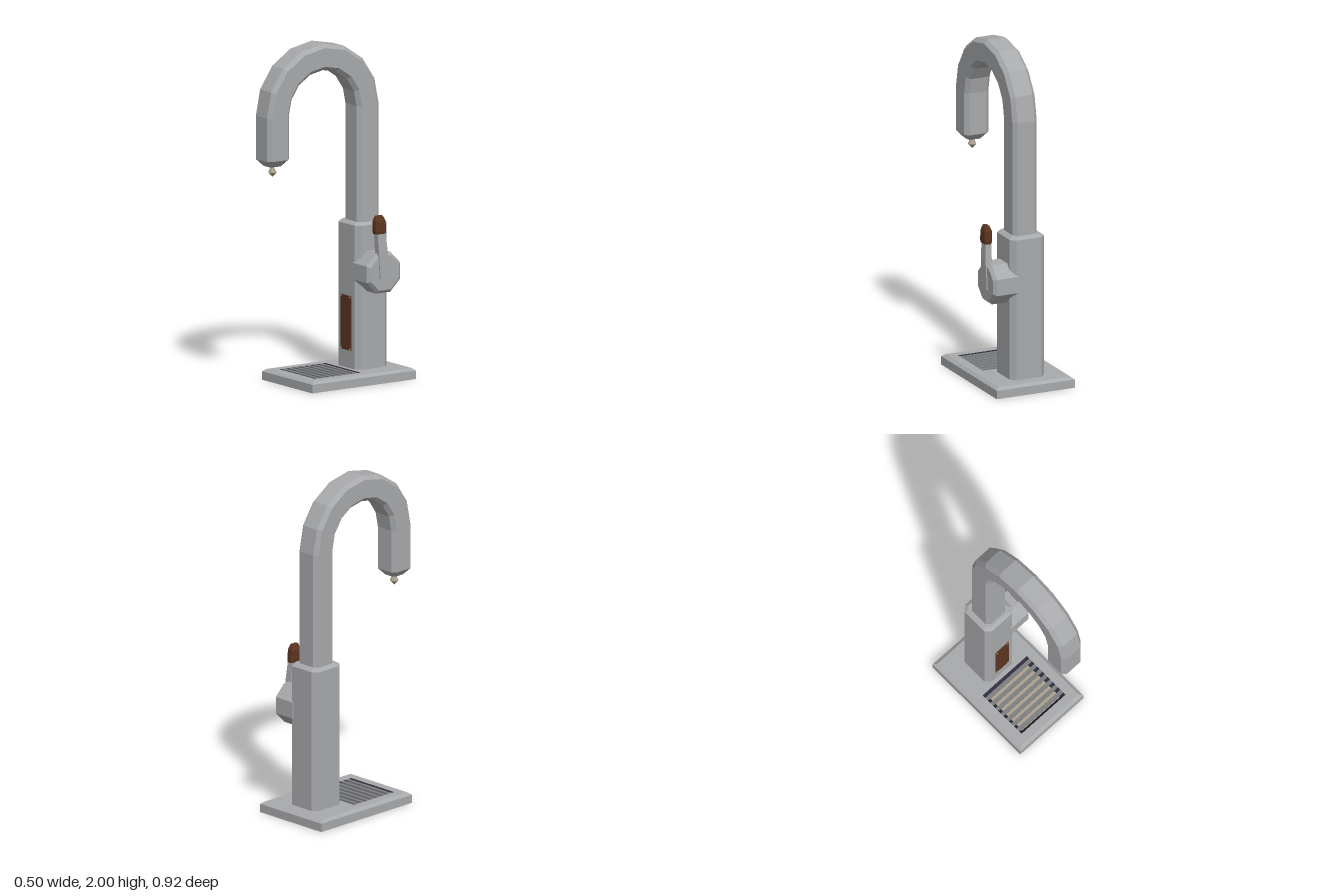
import * as THREE from 'three';

// Chamfered rectangle in the xz plane, listed counter-clockwise from above
function ring(hw, hd, c, y, x = 0, z = 0) {
  const pts = c > 0
    ? [[hw, hd - c], [hw, -hd + c], [hw - c, -hd], [-hw + c, -hd],
       [-hw, -hd + c], [-hw, hd - c], [-hw + c, hd], [hw - c, hd]]
    : [[hw, hd], [hw, -hd], [-hw, -hd], [-hw, hd]];
  return pts.map(([px, pz]) => new THREE.Vector3(px + x, y, pz + z));
}

// Faceted skin through a list of rings, with optional flat end caps
function loft(rings, capStart = true, capEnd = true) {
  const pos = [];
  const tri = (a, b, c) => [a, b, c].forEach((p) => pos.push(p.x, p.y, p.z));
  const n = rings[0].length;
  for (let r = 0; r < rings.length - 1; r++) {
    for (let i = 0; i < n; i++) {
      const j = (i + 1) % n, a = rings[r], b = rings[r + 1];
      tri(a[i], a[j], b[j]);
      tri(a[i], b[j], b[i]);
    }
  }
  const first = rings[0], last = rings[rings.length - 1];
  for (let i = 1; i < n - 1; i++) {
    if (capStart) tri(first[0], first[i + 1], first[i]);
    if (capEnd) tri(last[0], last[i], last[i + 1]);
  }
  const g = new THREE.BufferGeometry();
  g.setAttribute('position', new THREE.Float32BufferAttribute(pos, 3));
  g.computeVertexNormals();
  return g;
}

export function createModel() {
  const model = new THREE.Group();
  model.name = 'beverageTap';

  const material = (name, color) => {
    const m = new THREE.MeshStandardMaterial({ color });
    m.name = name;
    m.flatShading = true;
    return m;
  };
  const steel = material('steel', 0xa8a9ab);
  const grate = material('grateGrey', 0x7d7e80);
  const dark = material('darkRecess', 0x2f2d40);
  const tan = material('tan', 0xaca18d);
  const wood = material('brownWood', 0x5c3521);

  const add = (name, geometry, mat, x = 0, y = 0, z = 0, parent = model) => {
    const mesh = new THREE.Mesh(geometry, mat);
    mesh.name = name;
    mesh.position.set(x, y, z);
    parent.add(mesh);
    return mesh;
  };

  // Base slab with a bevelled rim and an opening for the drip tray
  const baseZ = -0.0925, trayZ = 0.0425;
  add('base', loft([
    ring(0.25, 0.3675, 0, 0, 0, baseZ),
    ring(0.25, 0.3675, 0, 0.05, 0, baseZ),
    ring(0.23, 0.3475, 0, 0.065, 0, baseZ),
    ring(0.175, 0.1625, 0, 0.065, 0, trayZ),
  ], true, false), steel);

  // Drip tray: sloping walls, floor and slats
  const tray = new THREE.Group();
  tray.name = 'dripTray';
  model.add(tray);
  add('trayWalls', loft([
    ring(0.175, 0.1625, 0, 0.065, 0, trayZ),
    ring(0.15, 0.1425, 0, 0.035, 0, trayZ),
  ], false, false), dark, 0, 0, 0, tray);
  const floor = add('trayFloor', new THREE.PlaneGeometry(0.3, 0.285), tan, 0, 0.035, trayZ, tray);
  floor.rotation.x = -Math.PI / 2;
  for (let i = 0; i < 7; i++) {
    add('slat', new THREE.BoxGeometry(0.35, 0.012, 0.022), grate,
      0, 0.059, trayZ + (i - 3) * 0.0437, tray);
  }

  // Column
  const colZ = -0.2575;
  add('column', loft([
    ring(0.11, 0.1125, 0.03, 0.06, 0, colZ),
    ring(0.11, 0.1125, 0.03, 0.91, 0, colZ),
    ring(0.09, 0.0925, 0.022, 0.925, 0, colZ),
  ]), steel);

  // Gooseneck: chamfered square swept up, over and down
  const R = 0.3175, arcY = 1.605, arcZ = 0.0625, half = 0.078;
  const section = (y, z, angle, h = half, c = 0.023) =>
    ring(h, h, c, 0).map((p) =>
      p.applyAxisAngle(new THREE.Vector3(1, 0, 0), angle).add(new THREE.Vector3(0, y, z)));
  const neck = [section(0.9, arcZ - R, 0)];
  for (let i = 0; i <= 8; i++) {
    const t = (i / 8) * Math.PI;
    neck.push(section(arcY + R * Math.sin(t), arcZ - R * Math.cos(t), t));
  }
  neck.push(section(1.35, arcZ + R, Math.PI));
  neck.push(section(1.31, arcZ + R, Math.PI, 0.042, 0.012));
  add('gooseneck', loft(neck), steel);

  // Small pointed nozzle
  const tip = [[0, 1.245], [0.025, 1.272], [0.006, 1.312]].map(([r, y]) => new THREE.Vector2(r, y));
  add('nozzle', new THREE.LatheGeometry(tip, 8), tan, 0, 0, arcZ + R);

  // Valve housing on the left side
  const valve = add('valveHousing', loft([
    ring(0.118, 0.118, 0.069, 0.07),
    ring(0.118, 0.118, 0.069, 0.207),
    ring(0.1, 0.1, 0.0585, 0.225),
  ]), steel, 0, 0.642, colZ);
  valve.rotation.z = -Math.PI / 2;

  // Lever leaning forward, with a brown grip
  add('lever', loft([
    ring(0.016, 0.035, 0, 0.61, 0.216, -0.255),
    ring(0.02, 0.031, 0, 0.775, 0.211, -0.241),
    ring(0.018, 0.028, 0, 0.89, 0.206, -0.232),
  ]), steel);
  add('grip', loft([
    ring(0.022, 0.035, 0.009, 0.875, 0.207, -0.23),
    ring(0.025, 0.038, 0.01, 0.89, 0.207, -0.23),
    ring(0.024, 0.036, 0.01, 0.95, 0.206, -0.228),
    ring(0.014, 0.024, 0.007, 0.98, 0.206, -0.226),
  ]), wood);

  // Front panel with corner pins
  add('frontPanel', new THREE.BoxGeometry(0.1, 0.32, 0.008), wood, 0, 0.33, -0.143);
  for (const sx of [-1, 1]) {
    for (const sy of [-1, 1]) {
      const pin = add('panelPin', new THREE.CylinderGeometry(0.005, 0.005, 0.006, 6), steel,
        sx * 0.043, 0.33 + sy * 0.153, -0.138);
      pin.rotation.x = Math.PI / 2;
    }
  }

  return model;
}
